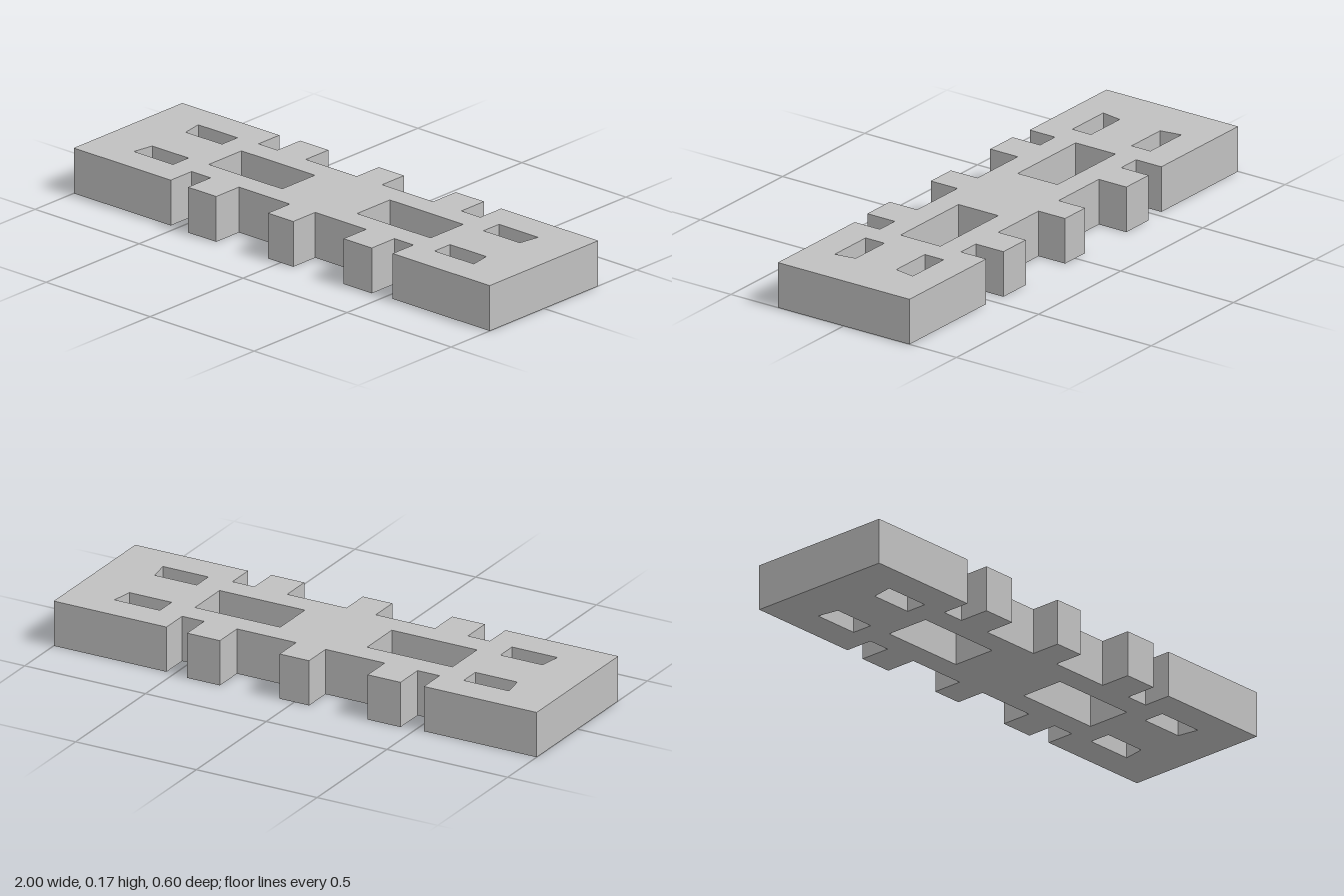
import * as THREE from 'three';

const HEIGHT = 0.175;

// Outline of one quarter, from the end face to the middle tab
const QUARTER = [
  [1, 0.292], [0.533, 0.292], [0.533, 0.18],      // end block
  [0.442, 0.18], [0.442, 0.302], [0.306, 0.302], [0.306, 0.18], // side tab
  [0.061, 0.18], [0.061, 0.298],                  // middle tab
];
const LARGE_HOLE = [[0.18, -0.088], [0.533, -0.088], [0.533, 0.088], [0.18, 0.088]];
const SMALL_HOLE = [[0.629, 0.09], [0.803, 0.09], [0.817, 0.173], [0.629, 0.173]];

const mirror = (points, sx, sy) => points.map(([x, y]) => [x * sx, y * sy]);
const vectors = (points) => points.map(([x, y]) => new THREE.Vector2(x, y));

export function createModel() {
  const group = new THREE.Group();
  group.name = 'slottedPlate';
  const grey = new THREE.MeshStandardMaterial({ color: 0xc0c0c0 });
  grey.name = 'light grey';

  // Full outline from four mirrored quarters
  const shape = new THREE.Shape(vectors([
    ...QUARTER,
    ...mirror(QUARTER, -1, 1).reverse(),
    ...mirror(QUARTER, -1, -1),
    ...mirror(QUARTER, 1, -1).reverse(),
  ]));

  // Two large slots and four small ones in the end blocks
  for (const sx of [1, -1]) {
    shape.holes.push(new THREE.Path(vectors(mirror(LARGE_HOLE, sx, 1))));
    for (const sy of [1, -1]) {
      shape.holes.push(new THREE.Path(vectors(mirror(SMALL_HOLE, sx, sy))));
    }
  }

  // Stand the extrusion on the ground
  const geometry = new THREE.ExtrudeGeometry(shape, { depth: HEIGHT, bevelEnabled: false });
  geometry.rotateX(-Math.PI / 2);
  const plate = new THREE.Mesh(geometry, grey);
  plate.name = 'plate';
  group.add(plate);
  return group;
}
